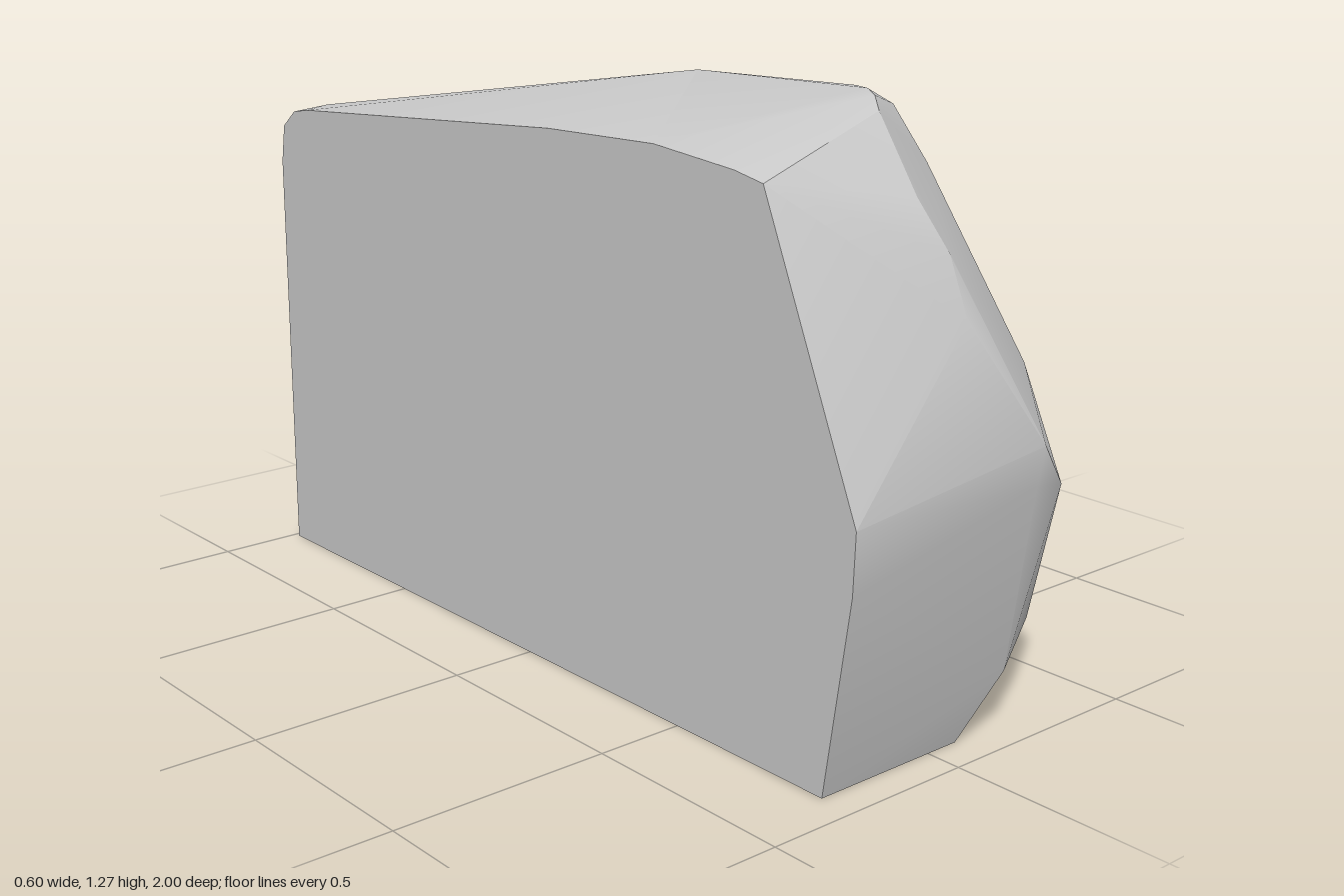
import * as THREE from 'three';
import { ConvexGeometry } from 'three/addons/geometries/ConvexGeometry.js';
import { toCreasedNormals } from 'three/addons/utils/BufferGeometryUtils.js';

// Outlines of the two flat cut sides, as [z, y]
const leftOutline = [
  [0.64, 0], [0.91, 0.21], [0.98, 0.52], [0.87, 0.75], [0.59, 1.12], [0.49, 1.23], [0.44, 1.245],
  [0.15, 1.15], [-0.3, 0.935], [-0.55, 0.8], [-0.61, 0.74], [-0.65, 0.67], [-0.68, 0.56], [-0.75, 0],
];
const rightOutline = [
  [0.92, 0], [0.985, 0.43], [0.99, 0.56], [0.73, 1.165], [0.65, 1.18], [0.42, 1.2], [0.085, 1.19],
  [-0.86, 1.12], [-0.92, 1.11], [-0.97, 1.07], [-0.985, 0.98], [-0.985, 0],
];

// Corners between the cut sides, as [x, y, z]
const corners = [
  // chamfered foot and front
  [0.08, 0, 0.92], [0.18, 0.14, 0.955], [0.22, 0.62, 1.0], [0.2, 0.54, 1.0],
  [0.07, 0.88, 0.915], [0.08, 1.0, 0.855], [0.07, 1.1, 0.775],
  // crown
  [0.13, 1.245, 0.61], [0.18, 1.265, 0.55], [0.22, 1.27, 0.49], [0.26, 1.265, 0.42],
  [0.26, 1.25, 0.15], [0.19, 1.262, 0.0],
  // back ridge and back
  [-0.21, 1.12, -0.91], [-0.2, 1.08, -0.965], [-0.19, 0.98, -0.985],
  [-0.02, 0.38, -1.0], [0.13, 0.52, -0.9], [0.13, 0, -0.955], [0.0, 0, -0.99],
];

export function createModel() {
  const side = (outline, x) => outline.map(([z, y]) => new THREE.Vector3(x, y, z));
  const points = [
    ...side(leftOutline, 0.3),
    ...side(rightOutline, -0.3),
    ...corners.map((c) => new THREE.Vector3(...c)),
  ];

  // Soft facets with crisp edges around the cut sides and base
  const geometry = toCreasedNormals(new ConvexGeometry(points), THREE.MathUtils.degToRad(24));
  const rock = new THREE.Mesh(geometry, new THREE.MeshStandardMaterial({ color: 0xcccccc }));
  rock.name = 'rock';

  const group = new THREE.Group();
  group.name = 'cutRock';
  group.add(rock);
  return group;
}
